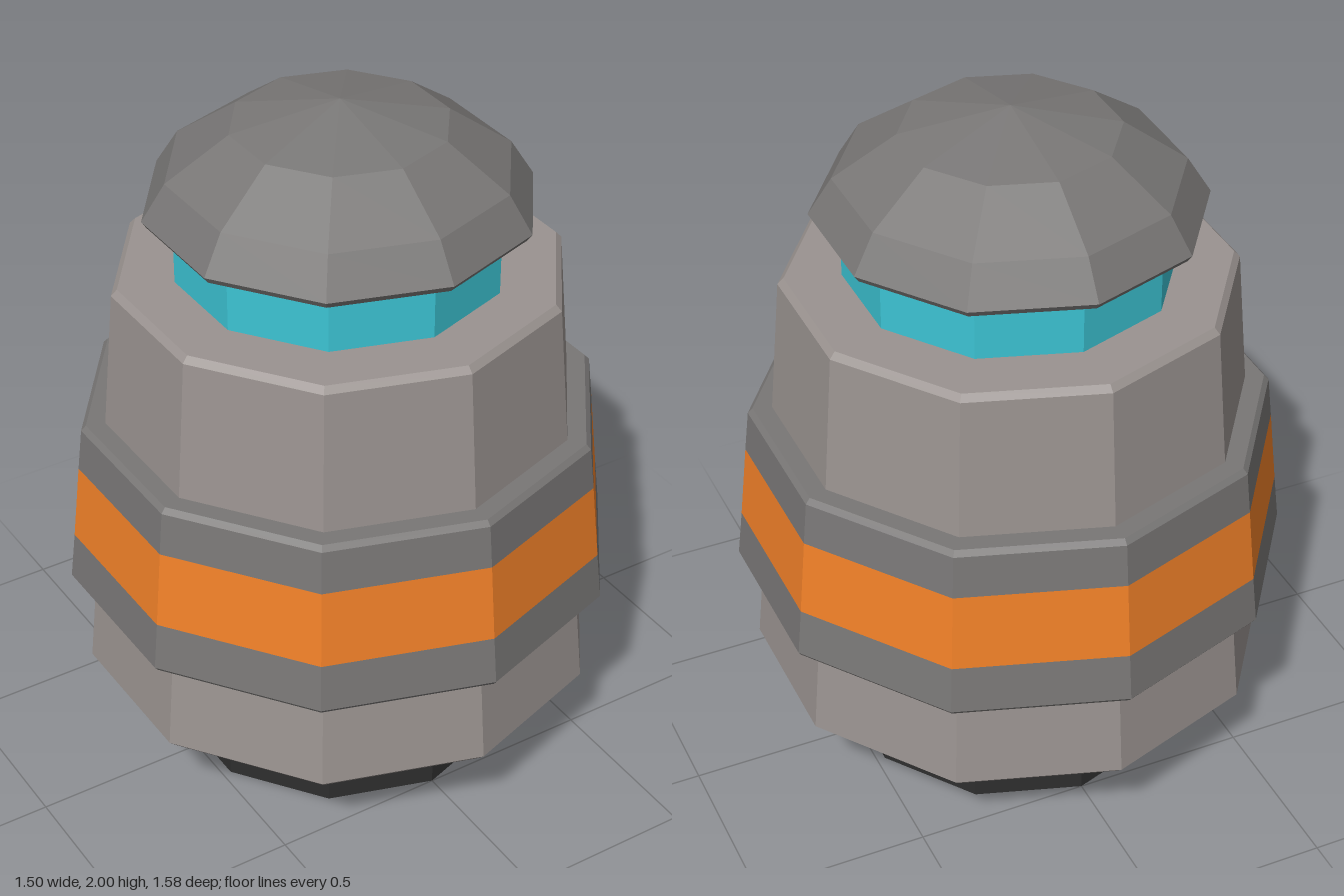
import * as THREE from 'three';

const SIDES = 10;

const paint = (color) => new THREE.MeshStandardMaterial({ color, flatShading: true });

// Ten-sided ring part turned from a profile of [radius, height], bottom to top
function turned(name, profile, material) {
  const points = profile.map(([r, y]) => new THREE.Vector2(r, y));
  const mesh = new THREE.Mesh(new THREE.LatheGeometry(points, SIDES), material);
  mesh.name = name;
  return mesh;
}

export function createModel() {
  const group = new THREE.Group();
  group.name = 'beaconTower';

  const shell = paint(0x9a9390);
  const trim = paint(0x797776);
  const dark = paint(0x2e2e2e);
  const glow = paint(0x3cc4d4);
  const orange = paint(0xf08028);

  // Hollow foot with a stepped socket and a glowing floor
  group.add(
    turned('foot', [[0.32, 0.095], [0.32, 0.045], [0.34, 0.03], [0.34, 0], [0.5, 0], [0.5, 0.26]], dark),
    turned('socketFloor', [[0, 0.095], [0.325, 0.095]], glow),
  );

  // Lower drum, chamfered underneath
  group.add(turned('lowerDrum',
    [[0.4, 0.255], [0.722, 0.255], [0.747, 0.28], [0.718, 0.58]], shell));

  // Wide collar with a flush coloured stripe
  group.add(
    turned('collarBottom', [[0.65, 0.567], [0.78, 0.567], [0.79, 0.58], [0.774, 0.72]], trim),
    turned('collarStripe', [[0.774, 0.72], [0.75, 0.945]], orange),
    turned('collarTop', [[0.75, 0.945], [0.736, 1.07], [0.722, 1.085], [0.6, 1.085]], trim),
  );

  // Upper drum, chamfered at its top edge
  group.add(turned('upperDrum',
    [[0.668, 1.08], [0.632, 1.49], [0.615, 1.508], [0, 1.508]], shell));

  // Lamp and faceted cap
  group.add(
    turned('lamp', [[0.458, 1.5], [0.458, 1.69]], glow),
    turned('cap', [[0, 1.685], [0.527, 1.685], [0.541, 1.705], [0.475, 1.81], [0.3, 1.932], [0, 2]], trim),
  );

  return group;
}
